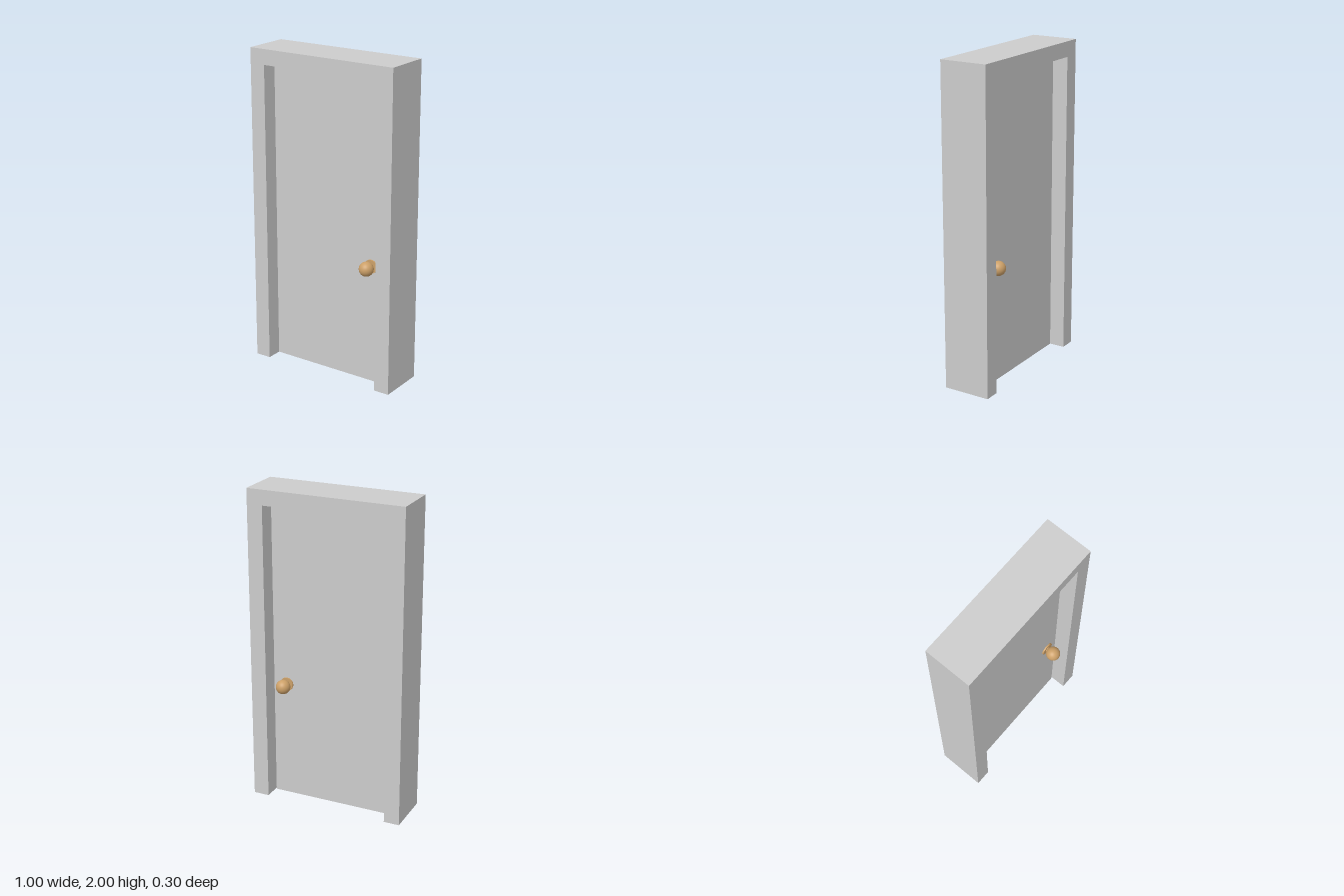
import * as THREE from 'three';

export function createModel() {
  const paint = new THREE.MeshStandardMaterial({ color: 0xcccccc });
  paint.name = 'grey paint';
  const brass = new THREE.MeshStandardMaterial({ color: 0xcca068 });
  brass.name = 'brass';

  const model = new THREE.Group();
  model.name = 'door';

  // Frame: two jambs and a lintel in one extruded outline, open at the floor
  const outline = new THREE.Shape([
    [-0.5, 0], [-0.4, 0], [-0.4, 1.905], [0.4, 1.905],
    [0.4, 0], [0.5, 0], [0.5, 2], [-0.5, 2],
  ].map(([x, y]) => new THREE.Vector2(x, y)));
  const frameGeometry = new THREE.ExtrudeGeometry(outline, { depth: 0.3, bevelEnabled: false });
  frameGeometry.translate(0, 0, -0.15);
  const frame = new THREE.Mesh(frameGeometry, paint);
  frame.name = 'frame';
  model.add(frame);

  // Door leaf, with a narrow gap at the top and on the latch side
  const leaf = new THREE.Mesh(new THREE.BoxGeometry(0.793, 1.896, 0.1), paint);
  leaf.name = 'leaf';
  leaf.position.set(-0.0035, 0.948, 0);
  model.add(leaf);

  // Knob, stem and rosette on both faces
  for (const [side, turn] of [['front', 0], ['back', Math.PI]]) {
    const handle = new THREE.Group();
    handle.name = side + 'Handle';
    handle.position.set(0.305, 0.755, 0);
    handle.rotation.y = turn;

    const rosette = new THREE.Mesh(new THREE.CylinderGeometry(0.043, 0.043, 0.01, 32), brass);
    rosette.name = 'rosette';
    rosette.rotation.x = Math.PI / 2;
    rosette.position.z = 0.054;

    const stem = new THREE.Mesh(new THREE.CylinderGeometry(0.018, 0.018, 0.05, 24), brass);
    stem.name = 'stem';
    stem.rotation.x = Math.PI / 2;
    stem.position.z = 0.075;

    const knob = new THREE.Mesh(new THREE.SphereGeometry(0.045, 32, 20), brass);
    knob.name = 'knob';
    knob.position.z = 0.104;

    handle.add(rosette, stem, knob);
    model.add(handle);
  }
  return model;
}
